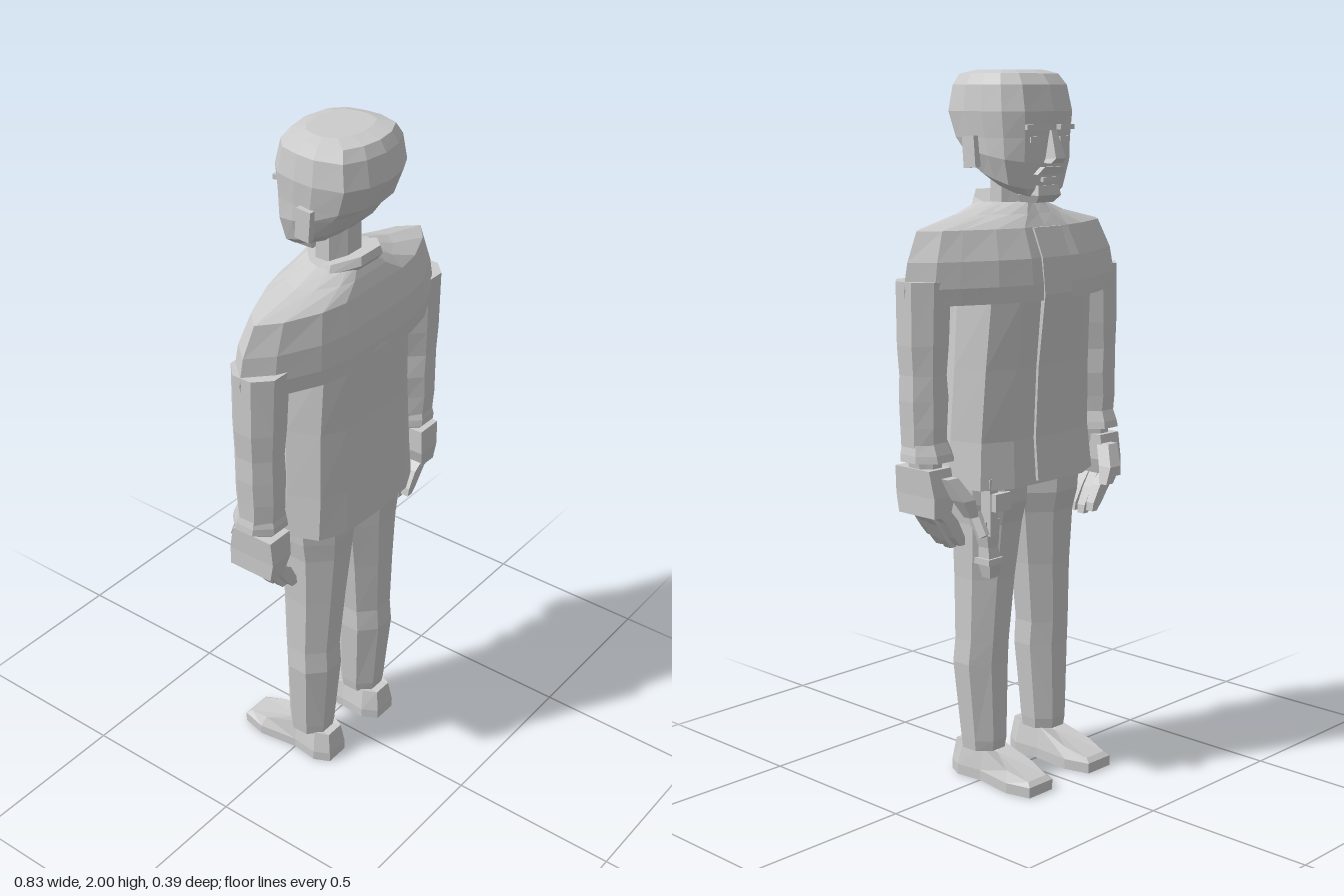
import * as THREE from 'three';

const grey = new THREE.MeshStandardMaterial({ color: 0xcccccc, flatShading: true });
grey.name = 'plain grey';

// Closed skin over rings of [x, y, z], listed from bottom to top; side -1 mirrors it in x
function loft(rings, side = 1) {
  const pos = [];
  const tri = (a, b, c) => {
    for (const p of side > 0 ? [a, b, c] : [a, c, b]) pos.push(p[0] * side, p[1], p[2]);
  };
  const n = rings[0].length;
  for (let r = 0; r < rings.length - 1; r++) {
    const a = rings[r], b = rings[r + 1];
    for (let i = 0; i < n; i++) {
      const j = (i + 1) % n;
      tri(a[i], a[j], b[j]);
      tri(a[i], b[j], b[i]);
    }
  }
  const cap = (ring, up) => {
    const c = [0, 1, 2].map(k => ring.reduce((s, p) => s + p[k], 0) / n);
    for (let i = 0; i < n; i++) {
      const j = (i + 1) % n;
      up ? tri(c, ring[i], ring[j]) : tri(c, ring[j], ring[i]);
    }
  };
  cap(rings[0], false);
  cap(rings[rings.length - 1], true);
  const g = new THREE.BufferGeometry();
  g.setAttribute('position', new THREE.Float32BufferAttribute(pos, 3));
  g.computeVertexNormals();
  return g;
}

// Half outline (u 0..1 sideways, v 1 back..-1 front) stretched to a symmetric ring
function outline(half, y, w, front, back, tilt = 0) {
  const mid = (front + back) / 2, dep = (back - front) / 2;
  const pts = half.map(([u, v]) => [u * w, y + tilt * (mid + v * dep), mid + v * dep]);
  return pts.concat(pts.slice(1, -1).reverse().map(p => [-p[0], p[1], p[2]]));
}

// Octagon between limits
function oct(y, x0, x1, z0, z1, tilt = 0) {
  const out = [], k = Math.cos(Math.PI / 8);
  for (let i = 0; i < 8; i++) {
    const a = (i + 0.5) * Math.PI / 4;
    const z = (z0 + z1) / 2 + Math.cos(a) * (z1 - z0) / 2 / k;
    out.push([(x0 + x1) / 2 + Math.sin(a) * (x1 - x0) / 2 / k, y + tilt * z, z]);
  }
  return out;
}

const rect = (y, x0, x1, z0, z1) => [[x0, y, z1], [x1, y, z1], [x1, y, z0], [x0, y, z0]];

const BODY = [[0, 1], [0.55, 0.96], [0.85, 0.7], [1, 0.05], [0.9, -0.65], [0.55, -0.95], [0, -0.97]];
const YOKE = [[0, 1], [0.34, 1], [0.56, 0.87], [0.84, 0.5], [1, 0.1], [0.87, -0.3], [0.72, -0.5], [0.48, -0.8], [0.24, -1], [0, -0.96]];
const SKULL = [[0, 1], [0.45, 0.93], [0.85, 0.72], [1, 0.2], [0.97, -0.2], [0.88, -0.6], [0.6, -0.88], [0, -1]];

export function createModel() {
  const model = new THREE.Group();
  const add = (name, geo) => {
    const m = new THREE.Mesh(geo, grey);
    m.name = name;
    model.add(m);
    return m;
  };
  const box = (name, w, h, d, x, y, z) => {
    const m = add(name, new THREE.BoxGeometry(w, h, d));
    m.position.set(x, y, z);
    return m;
  };

  // Jacket
  add('jacketBody', loft([
    [0.87, 0.255, -0.115, 0.175], [1.0, 0.242, -0.105, 0.17], [1.2, 0.232, -0.115, 0.165],
    [1.4, 0.222, -0.135, 0.175], [1.5, 0.2, -0.12, 0.165],
  ].map(r => outline(BODY, ...r))));
  add('jacketShoulders', loft([
    [1.385, 0.41, -0.14, 0.172], [1.43, 0.415, -0.14, 0.174], [1.5, 0.4, -0.13, 0.168],
    [1.58, 0.36, -0.095, 0.15], [1.615, 0.2, -0.07, 0.135], [1.645, 0.11, -0.05, 0.12],
  ].map(r => outline(YOKE, ...r))));
  // Front placket and pocket edge
  const strip = (y, z) => rect(y, -0.055, 0.055, z, z + 0.03);
  add('frontPlacket', loft([strip(0.88, -0.118), strip(1.0, -0.108), strip(1.2, -0.118),
    strip(1.4, -0.143), strip(1.5, -0.133), strip(1.58, -0.1)]));

  // Collar and neck
  add('collar', loft([oct(1.59, -0.095, 0.095, -0.05, 0.12, 0.3),
    oct(1.605, -0.11, 0.11, -0.055, 0.14, 0.33), oct(1.63, -0.1, 0.1, -0.05, 0.135, 0.33)]));
  add('neck', loft([oct(1.58, -0.07, 0.07, -0.025, 0.085), oct(1.77, -0.068, 0.068, -0.02, 0.08)]));

  // Head
  add('head', loft([
    [1.69, 0.085, -0.085, 0.06, 0.36], [1.715, 0.125, -0.098, 0.105, 0.36], [1.775, 0.148, -0.112, 0.14, 0.2],
    [1.82, 0.15, -0.116, 0.165, 0], [1.89, 0.157, -0.122, 0.192, 0], [1.96, 0.148, -0.105, 0.178, 0],
    [1.99, 0.13, -0.08, 0.16, 0], [2.0, 0.095, -0.04, 0.11, 0],
  ].map(r => outline(SKULL, ...r))));
  // Face
  add('nose', loft([rect(1.752, -0.025, 0.025, -0.135, -0.09), rect(1.765, -0.02, 0.02, -0.148, -0.09),
    rect(1.84, -0.01, 0.01, -0.122, -0.09)]));
  add('moustache', loft([rect(1.722, -0.055, 0.055, -0.114, -0.06), rect(1.742, -0.035, 0.035, -0.122, -0.06)]));
  add('chin', loft([rect(1.645, -0.035, 0.035, -0.09, -0.03), rect(1.665, -0.045, 0.045, -0.108, -0.03),
    rect(1.692, -0.04, 0.04, -0.102, -0.03)]));
  box('lowerLip', 0.055, 0.012, 0.03, 0, 1.708, -0.095);

  for (const s of [1, -1]) {
    const L = (name, rings) => add(name, loft(rings, s));
    box('ear', 0.02, 0.085, 0.045, s * 0.154, 1.782, 0.04).rotation.x = 0.08;
    const brow = box('brow', 0.075, 0.014, 0.02, s * 0.055, 1.848, -0.111);
    brow.rotation.y = s * -0.22;
    const eye = box('eye', 0.045, 0.016, 0.01, s * 0.052, 1.815, -0.108);
    eye.rotation.y = s * -0.22;

    // Sleeve and flared cuff
    L('sleeve', [
      oct(0.99, 0.282, 0.405, -0.025, 0.095), oct(1.06, 0.285, 0.407, -0.03, 0.1), oct(1.13, 0.278, 0.41, -0.03, 0.1),
      oct(1.2, 0.285, 0.408, -0.03, 0.1), oct(1.28, 0.275, 0.413, -0.033, 0.105), oct(1.45, 0.265, 0.412, -0.035, 0.11),
    ]);
    L('cuff', [oct(0.965, 0.27, 0.412, -0.045, 0.1), oct(0.985, 0.275, 0.41, -0.04, 0.1), oct(1.02, 0.287, 0.402, -0.025, 0.09)]);

    // Hand with curled fingers
    L('wrist', [oct(0.92, 0.305, 0.38, -0.015, 0.08), oct(0.98, 0.3, 0.388, -0.015, 0.085)]);
    L('palm', [rect(0.815, 0.325, 0.385, -0.045, 0.095), rect(0.87, 0.308, 0.385, -0.045, 0.105),
      rect(0.945, 0.308, 0.39, -0.03, 0.102)]);
    for (let i = 0; i < 4; i++) {
      const z = 0.078 - i * 0.035, dy = [0.025, 0.005, 0, 0.012][i];
      L('finger', [rect(0.71 + dy, 0.265, 0.285, z - 0.012, z + 0.012), rect(0.735 + dy, 0.268, 0.305, z - 0.014, z + 0.014),
        rect(0.785 + dy, 0.295, 0.34, z - 0.016, z + 0.016), rect(0.83, 0.325, 0.383, z - 0.016, z + 0.016)]);
    }
    L('thumb', [rect(0.81, 0.265, 0.295, -0.092, -0.065), rect(0.86, 0.28, 0.325, -0.095, -0.05),
      rect(0.92, 0.31, 0.35, -0.06, -0.015)]);

    // Trouser leg
    L('trouserLeg', [
      oct(0.09, 0.066, 0.185, -0.03, 0.09), oct(0.12, 0.062, 0.188, -0.035, 0.095), oct(0.35, 0.046, 0.206, -0.035, 0.115),
      oct(0.42, 0.048, 0.202, -0.04, 0.11), oct(0.6, 0.03, 0.2, -0.05, 0.12), oct(0.76, 0.008, 0.204, -0.065, 0.13),
      oct(0.82, 0.0, 0.212, -0.08, 0.135), oct(0.92, 0.0, 0.218, -0.085, 0.14),
    ]);

    // Shoe
    const sole = (y, k) => [[0.085, 0.125], [0.16, 0.125], [0.182, 0.08], [0.172, 0], [0.19, -0.12], [0.172, -0.195],
      [0.078, -0.195], [0.058, -0.12], [0.066, 0], [0.06, 0.08]]
      .map(([x, z]) => [0.123 + (x - 0.123) * k, y(z), z * (k < 0.9 ? 0.92 : 1)]);
    L('shoe', [sole(() => 0, 1), sole(() => 0.03, 1), sole(z => z > -0.05 ? 0.095 : 0.06 + (z + 0.12) * 0.25, 0.78)]);
  }

  // Holster with strap, pouch and grip on the hip
  add('holster', loft([rect(0.61, 0.14, 0.18, -0.05, -0.01), rect(0.65, 0.145, 0.19, -0.06, -0.005),
    rect(0.7, 0.15, 0.19, -0.055, 0), rect(0.78, 0.155, 0.21, -0.065, 0.0)]));
  box('holsterBand', 0.055, 0.018, 0.07, 0.17, 0.66, -0.03);
  box('holsterStrap', 0.03, 0.16, 0.035, 0.19, 0.82, -0.06);
  box('holsterPouch', 0.06, 0.05, 0.05, 0.17, 0.835, -0.07);
  box('holsterGrip', 0.03, 0.07, 0.03, 0.205, 0.77, -0.045).rotation.x = 0.5;

  return model;
}
